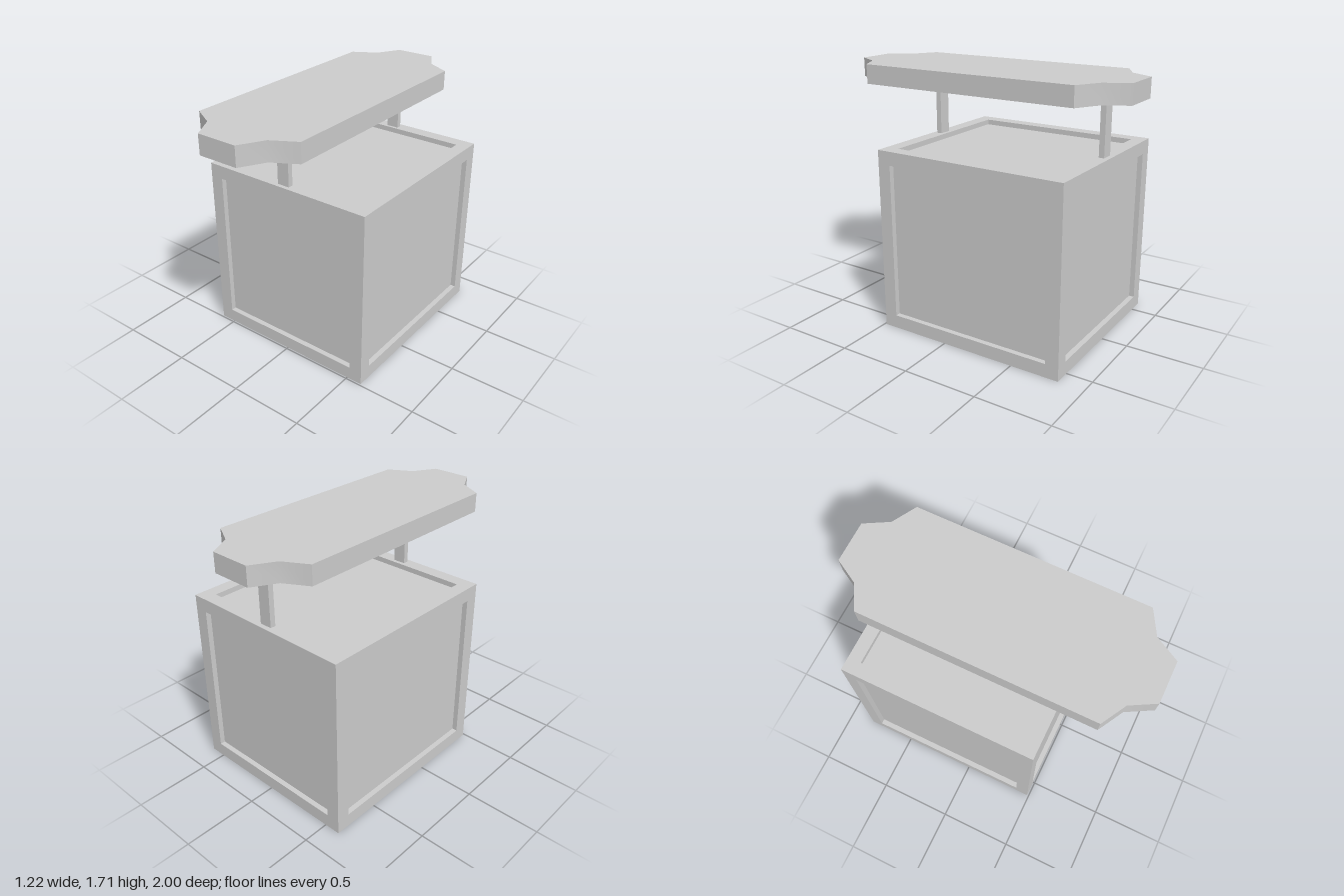
import * as THREE from 'three';
import { toCreasedNormals } from 'three/addons/utils/BufferGeometryUtils.js';

const material = new THREE.MeshStandardMaterial({ color: 0xcccccc });

function addMesh(parent, name, geometry, x = 0, y = 0, z = 0) {
  const mesh = new THREE.Mesh(geometry, material);
  mesh.name = name;
  mesh.position.set(x, y, z);
  parent.add(mesh);
  return mesh;
}

// One crate face in the XY plane facing +z: flat border, recess walls, sunken panel
function recessedFace(w, h, border, depth) {
  const ring = (inset, z) => {
    const a = w / 2 - inset, b = h / 2 - inset;
    return [[-a, -b, z], [a, -b, z], [a, b, z], [-a, b, z]];
  };
  const rings = [ring(0, 0), ring(border, 0), ring(border, -depth)];
  const pos = [];
  const quad = (a, b, c, d) => pos.push(...a, ...b, ...c, ...a, ...c, ...d);
  for (let r = 0; r < 2; r++) {
    for (let i = 0; i < 4; i++) {
      const j = (i + 1) % 4;
      quad(rings[r][i], rings[r][j], rings[r + 1][j], rings[r + 1][i]);
    }
  }
  quad(...rings[2]);
  const geometry = new THREE.BufferGeometry();
  geometry.setAttribute('position', new THREE.Float32BufferAttribute(pos, 3));
  geometry.computeVertexNormals();
  return geometry;
}

// Closed crate made of six recessed faces
function createCrate(w, h, d) {
  const crate = new THREE.Group();
  crate.name = 'crate';
  const border = 0.09, depth = 0.035, q = Math.PI / 2;
  const faces = [
    ['frontFace', w, h, 0, 0, [0, 0, d / 2]],
    ['backFace', w, h, 0, 2 * q, [0, 0, -d / 2]],
    ['leftFace', d, h, 0, q, [w / 2, 0, 0]],
    ['rightFace', d, h, 0, -q, [-w / 2, 0, 0]],
    ['topFace', w, d, -q, 0, [0, h / 2, 0]],
    ['bottomFace', w, d, q, 0, [0, -h / 2, 0]],
  ];
  for (const [name, fw, fh, rx, ry, p] of faces) {
    addMesh(crate, name, recessedFace(fw, fh, border, depth), ...p).rotation.set(rx, ry, 0);
  }
  return crate;
}

// Long board with notched corners
function boardGeometry(thickness) {
  const corner = [[0.378, 0.757], [0.222, 0.845], [0.135, 1]];
  const flip = (sx, sy) => corner.map(([x, y]) => new THREE.Vector2(x * sx, y * sy));
  const outline = [
    ...flip(1, 1), ...flip(-1, 1).reverse(),
    ...flip(-1, -1), ...flip(1, -1).reverse(),
  ];
  const geometry = new THREE.ExtrudeGeometry(new THREE.Shape(outline), {
    depth: thickness, bevelEnabled: false,
  });
  geometry.rotateX(-Math.PI / 2);
  // the notches shade smoothly, the other edges stay sharp
  return toCreasedNormals(geometry, 0.8);
}

export function createModel() {
  const model = new THREE.Group();
  model.name = 'crateWithRaisedBoard';

  const crate = createCrate(1.215, 1.22, 1.315);
  crate.position.set(0, 0.61, -0.17);
  model.add(crate);

  // Posts carrying the board
  const post = new THREE.BoxGeometry(0.086, 0.37, 0.036);
  addMesh(model, 'frontPost', post, -0.016, 1.4, 0.442);
  addMesh(model, 'backPost', post, -0.016, 1.4, -0.777);

  addMesh(model, 'board', boardGeometry(0.128), 0, 1.58, 0);
  return model;
}
